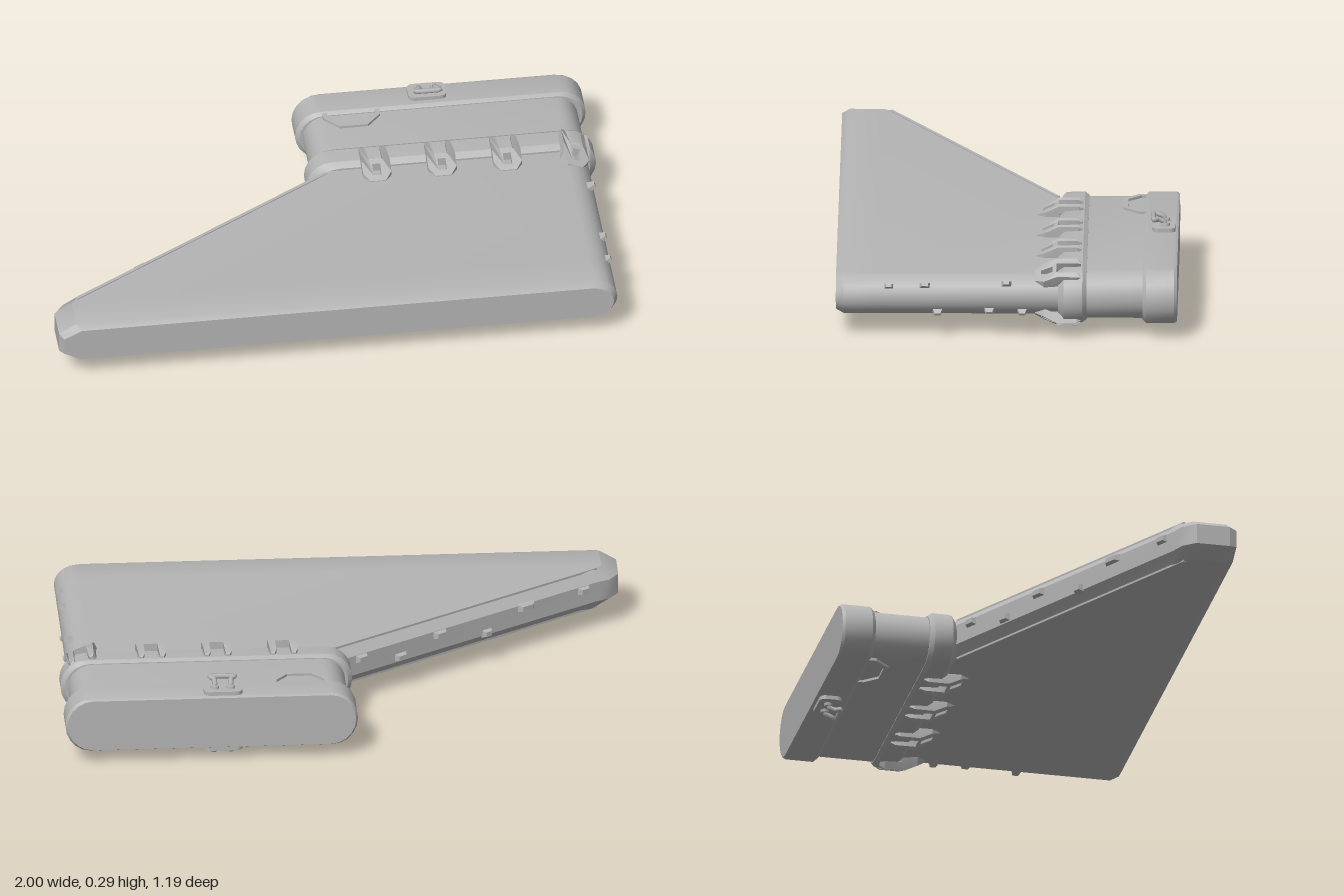
import * as THREE from 'three';
import { toCreasedNormals } from 'three/addons/utils/BufferGeometryUtils.js';

const C = 0.148; // mid height of the whole piece
const metal = new THREE.MeshStandardMaterial({ color: 0xb4b4b4 });
metal.name = 'grey metal';

function add(parent, name, geo, x = 0, y = 0, z = 0) {
  const m = new THREE.Mesh(geo, metal);
  m.name = name;
  m.position.set(x, y, z);
  parent.add(m);
  return m;
}

// Flat bar section with rounded right end and a rounded or chamfered left end
function ring([z, x0, x1, h], rl, rr, segL) {
  const pts = [];
  for (let i = 0; i <= 10; i++) {
    const a = (i / 10 - 0.5) * Math.PI;
    pts.push([x1 - rr + rr * Math.cos(a), C + h * Math.sin(a), z]);
  }
  const k = segL === 3 ? Math.cos(Math.PI / 6) : 1;
  for (let i = 0; i <= segL; i++) {
    const a = (i / segL + 0.5) * Math.PI;
    pts.push([x0 + rl + rl * Math.cos(a) / k * (segL === 3 ? Math.sin(Math.PI / 3) / k : 1), C + h * Math.sin(a), z]);
  }
  return pts;
}

// Skin sections ordered from front to back, closed at both ends
function loft(sections, rl, rr, segL) {
  const rings = sections.map((s) => ring(s, rl, rr, segL));
  const n = rings[0].length, pos = [], last = rings.length - 1;
  const tri = (...p) => p.forEach((q) => pos.push(...q));
  const centre = (s) => [(s[1] + s[2]) / 2, C, s[0]];
  for (let j = 0; j < n; j++) {
    const k = (j + 1) % n;
    for (let i = 0; i < last; i++) {
      const a = rings[i][j], b = rings[i][k], c = rings[i + 1][k], d = rings[i + 1][j];
      tri(a, d, c);
      tri(a, c, b);
    }
    tri(centre(sections[0]), rings[0][j], rings[0][k]);
    tri(centre(sections[last]), rings[last][k], rings[last][j]);
  }
  const g = new THREE.BufferGeometry();
  g.setAttribute('position', new THREE.Float32BufferAttribute(pos, 3));
  return toCreasedNormals(g, 0.5);
}

const outline = (pts, T = THREE.Shape) => new T(pts.map((p) => new THREE.Vector2(...p)));

// Plate lying flat: shape y runs towards the back
function plate(shape, depth) {
  const g = new THREE.ExtrudeGeometry(shape, { depth, bevelEnabled: false, curveSegments: 5 });
  return g.rotateX(-Math.PI / 2);
}

// Two-pronged clip, bent so it climbs from the body onto the collar
function clipGeometry() {
  const half = [[0.028, 0], [0.05, 0.03], [0.05, 0.075], [0.05, 0.145], [0.043, 0.16], [0.03, 0.16], [0.024, 0.145], [0.024, 0.075]];
  const s = outline([...half, ...half.map(([x, y]) => [-x, y]).reverse()]);
  s.holes.push(outline([[-0.014, 0.02], [-0.014, 0.06], [0.014, 0.06], [0.014, 0.02]], THREE.Path));
  const g = plate(s, 0.03);
  const p = g.attributes.position;
  for (let i = 0; i < p.count; i++) {
    const v = -p.getZ(i);
    const lift = v < 0.075 ? v / 0.075 * 0.036 : 0.036 - Math.max(0, v - 0.145) * 0.6;
    p.setY(i, p.getY(i) + lift);
  }
  return toCreasedNormals(g.translate(0, 0.046, -0.1), 0.4);
}

// Small worn chip: a tapered box pointing outward along +x
function chipGeometry(len, high, out) {
  const g = new THREE.CylinderGeometry(0.35, 0.7071, 1, 4).rotateY(Math.PI / 4).rotateZ(-Math.PI / 2);
  return toCreasedNormals(g.scale(out, high, len), 0.3);
}

export function createModel() {
  const model = new THREE.Group();
  model.name = 'sheath';

  // Tapered main body
  add(model, 'body', loft([
    [0.595, -0.985, 0.95, 0.062], [0.568, -1, 0.965, 0.073], [0.45, -1, 0.965, 0.073],
    [0.405, -0.965, 0.965, 0.073], [0.385, -0.92, 0.965, 0.073], [-0.21, 0.04, 0.965, 0.073],
  ], 0.06, 0.08, 3));

  // Collar, neck and end cap
  add(model, 'collar', loft([
    [-0.18, 0.0, 0.972, 0.08], [-0.2, -0.025, 0.995, 0.096], [-0.265, -0.025, 0.995, 0.098], [-0.28, -0.01, 0.98, 0.09],
  ], 0.09, 0.09, 10));
  add(model, 'neck', loft([[-0.27, 0, 0.968, 0.087], [-0.5, 0, 0.968, 0.087]], 0.08, 0.08, 10));
  add(model, 'endCap', loft([
    [-0.475, -0.012, 0.985, 0.09], [-0.488, -0.025, 0.998, 0.099], [-0.585, -0.025, 0.998, 0.099], [-0.595, -0.018, 0.99, 0.094],
  ], 0.09, 0.09, 10));

  const clip = clipGeometry();

  // Trapezoid bracket frame
  const frame = outline([[-0.1, 0.1], [-0.1, 0.055], [-0.05, 0], [0.05, 0], [0.1, 0.055], [0.1, 0.1]]);
  frame.holes.push(outline([[-0.083, 0.095], [0.083, 0.095], [0.083, 0.062], [0.042, 0.016], [-0.042, 0.016], [-0.083, 0.062]], THREE.Path));
  const frameGeo = plate(frame, 0.013).translate(0, 0.083, -0.4);

  // Buckle base with rounded corners
  const base = new THREE.Shape();
  base.absarc(0.045, 0.018, 0.022, 0, Math.PI / 2);
  base.absarc(-0.045, 0.018, 0.022, Math.PI / 2, Math.PI);
  base.absarc(-0.045, -0.018, 0.022, Math.PI, Math.PI * 1.5);
  base.absarc(0.045, -0.018, 0.022, Math.PI * 1.5, Math.PI * 2);
  const baseGeo = plate(base, 0.016).translate(0, 0.097, -0.545);

  // Curled hook loop
  const v = (x, y, z) => new THREE.Vector3(x, y, z);
  const hookPath = new THREE.CatmullRomCurve3([
    v(-0.028, 0.105, -0.55), v(-0.028, 0.127, -0.545), v(-0.03, 0.136, -0.525), v(-0.042, 0.138, -0.508),
    v(0.042, 0.138, -0.508), v(0.03, 0.136, -0.525), v(0.028, 0.127, -0.545), v(0.028, 0.105, -0.55),
  ], false, 'catmullrom', 0.3);
  const hookGeo = new THREE.TubeGeometry(hookPath, 40, 0.009, 6);
  const footGeo = new THREE.CylinderGeometry(0.014, 0.016, 0.012, 10);

  // Fittings repeat on the upper and lower faces
  for (const [side, turn] of [['upper', 0], ['lower', Math.PI]]) {
    const dir = turn ? -1 : 1;
    for (const x of [0.215, 0.445, 0.675, 0.88]) {
      const m = add(model, side + 'Clip', clip, x, C, 0);
      m.rotation.z = turn - (x > 0.8 ? 0.4 * dir : 0);
    }
    add(model, side + 'Bracket', frameGeo, 0.17, C, 0).rotation.z = turn;

    const buckle = new THREE.Group();
    buckle.name = side + 'Buckle';
    buckle.position.set(0.445, C, 0);
    buckle.rotation.z = turn;
    add(buckle, 'base', baseGeo);
    add(buckle, 'hook', hookGeo);
    for (const x of [-0.028, 0.028]) add(buckle, 'foot', footGeo, x, 0.117, -0.55);
    model.add(buckle);

    // Raised rail beside the slanted edge
    const rail = add(model, side + 'Rail', new THREE.BoxGeometry(1.13, 0.012, 0.012), -0.44, C + dir * 0.07, 0.127);
    rail.rotation.y = Math.atan2(0.595, 0.96);
  }

  // Chips along the straight edge: z, y, length
  for (const [z, y, len] of [[0.41, 0.19, 0.04], [0.285, 0.193, 0.045], [0, 0.2, 0.04], [0.24, 0.098, 0.04], [0.06, 0.105, 0.045], [-0.055, 0.1, 0.04]]) {
    const m = add(model, 'edgeChip', chipGeometry(len, 0.022, 0.03), 0.95, y, z);
    m.rotation.z = (y > C ? 1 : -1) * 0.5;
  }

  // Chips along the slanted edge: position along it, height, length
  for (const [t, y, len] of [[0.05, 0.17, 0.06], [0.27, 0.175, 0.09], [0.42, 0.12, 0.05], [0.6, 0.17, 0.07], [0.75, 0.13, 0.06], [0.9, 0.17, 0.06]]) {
    const m = add(model, 'slantChip', chipGeometry(len, 0.035, 0.03), -0.92 + 0.95 * t, y, 0.385 - 0.59 * t);
    m.rotation.y = Math.PI - Math.atan2(0.96, 0.595);
  }
  return model;
}
